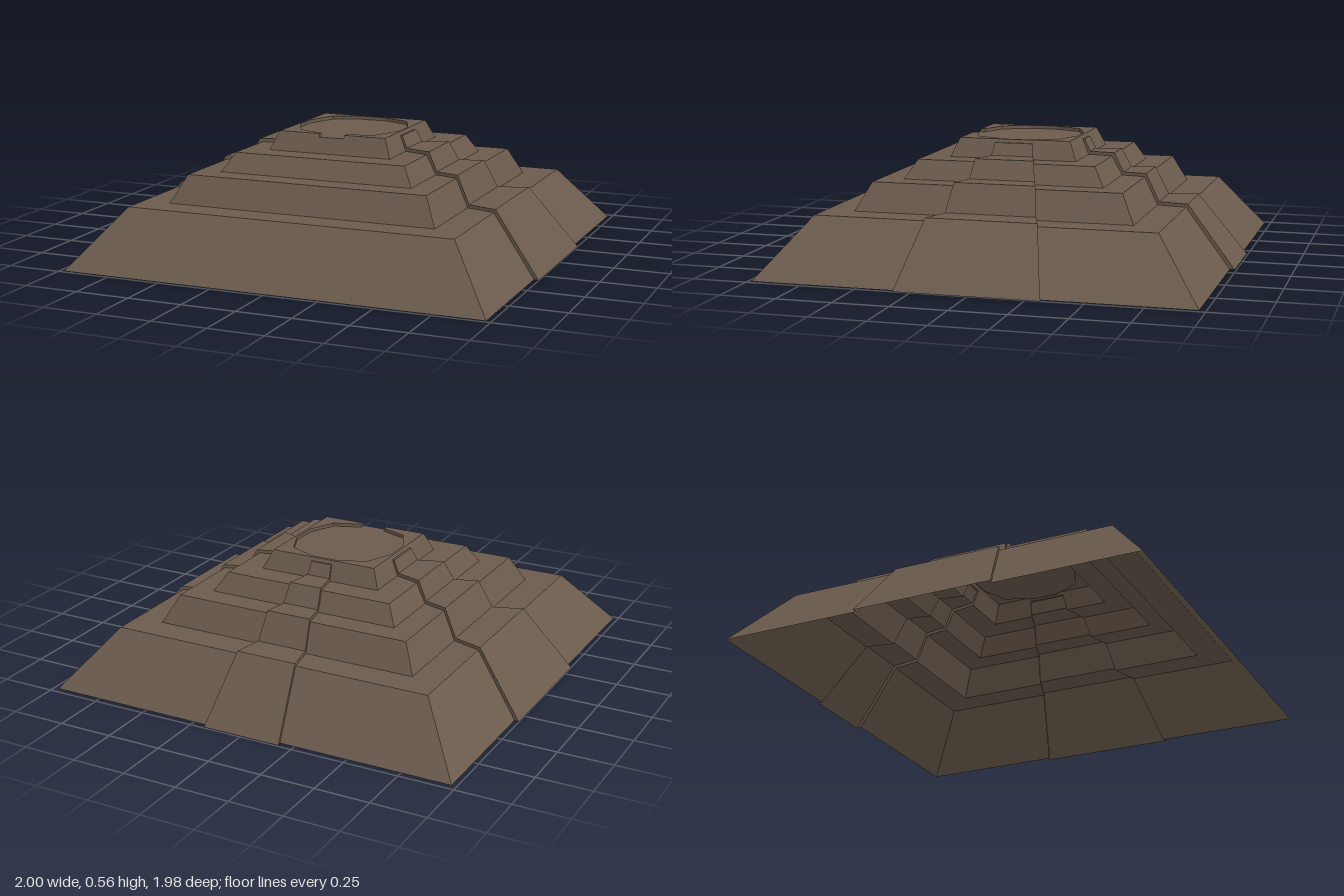
import * as THREE from 'three';

const material = new THREE.MeshStandardMaterial({ color: 0x6b5b4d, flatShading: true, side: THREE.DoubleSide });

// Half-width and height at each bend of the stepped slope
const TIERS = [[0.9775, 0], [0.7675, 0.265], [0.6325, 0.265], [0.57, 0.39], [0.46, 0.39],
  [0.41, 0.475], [0.295, 0.475], [0.265, 0.545], [0.2575, 0.56]];
// The raised ramps follow the same bends slightly further out
const RAMP = [[1, 0], [0.777, 0.28], [0.64, 0.28], [0.577, 0.405], [0.467, 0.405],
  [0.422, 0.49], [0.303, 0.49], [0.275, 0.545]];
const RIM_Y = 0.56, FLOOR_Y = 0.545, NOTCH = 0.06;

// Mesh from a list of quads, corners anticlockwise seen from outside
function quadMesh(name, quads) {
  const positions = [];
  for (const [a, b, c, d] of quads) positions.push(...a, ...b, ...c, ...a, ...c, ...d);
  const geometry = new THREE.BufferGeometry();
  geometry.setAttribute('position', new THREE.Float32BufferAttribute(positions, 3));
  geometry.computeVertexNormals();
  const mesh = new THREE.Mesh(geometry, material);
  mesh.name = name;
  return mesh;
}

// Adds a quad and its mirror image across x = 0
function mirrored(quads, quad) {
  quads.push(quad, quad.map(([x, y, z]) => [-x, y, z]).reverse());
}

// One stepped side facing +z; ramp is the ramp's half-width per unit distance (0 for none)
function steppedSide(name, ramp, notched) {
  const quads = [];
  for (let i = 0; i < TIERS.length - 1; i++) {
    const [d0, y0] = TIERS[i], [d1, y1] = TIERS[i + 1];
    const last = i === TIERS.length - 2;
    const g0 = last ? (notched ? NOTCH : 0) : ramp * d0;
    const g1 = last ? g0 : ramp * d1;
    if (g0 > 0) mirrored(quads, [[g0, y0, d0], [d0, y0, d0], [d1, y1, d1], [g1, y1, d1]]);
    else quads.push([[-d0, y0, d0], [d0, y0, d0], [d1, y1, d1], [-d1, y1, d1]]);
  }
  return quadMesh(name, quads);
}

// Tapering raised ramp with thin side walls
function rampMesh(name, k) {
  const quads = [];
  const strip = ([d0, y0], [d1, y1]) =>
    quads.push([[-k * d0, y0, d0], [k * d0, y0, d0], [k * d1, y1, d1], [-k * d1, y1, d1]]);
  const at = ([d, y]) => [k * d, y, d];
  for (let i = 0; i < RAMP.length - 1; i++) {
    strip(RAMP[i], RAMP[i + 1]);
    mirrored(quads, [at(TIERS[i]), at(TIERS[i + 1]), at(RAMP[i + 1]), at(RAMP[i])]);
  }
  strip(RAMP[7], TIERS[7]);
  return quadMesh(name, quads);
}

// Flat horizontal face from [x, z] points
function flatFace(name, points, y) {
  const shape = new THREE.Shape(points.map(([x, z]) => new THREE.Vector2(x, -z)));
  const geometry = new THREE.ShapeGeometry(shape).rotateX(-Math.PI / 2).translate(0, y, 0);
  const mesh = new THREE.Mesh(geometry, material);
  mesh.name = name;
  return mesh;
}

export function createModel() {
  const model = new THREE.Group();
  model.name = 'steppedPyramid';
  const body = new THREE.Group();
  body.name = 'body';
  body.position.z = 0.0075;
  model.add(body);

  // Four stepped sides, three of them with a ramp
  const sides = [['front', 0, 0], ['left', Math.PI / 2, 0.3225],
    ['back', Math.PI, 0.185], ['right', -Math.PI / 2, 0.3225]];
  for (const [name, angle, k] of sides) {
    const side = new THREE.Group();
    side.name = name + 'Side';
    side.rotation.y = angle;
    side.add(steppedSide(name + 'Tiers', k, name === 'front'));
    if (k) side.add(rampMesh(name + 'Ramp', k));
    body.add(side);
  }

  // Basin outline on the summit: twelve sides, open through a notch at the front
  const h = TIERS[8][0];
  const right = [[NOTCH, h], [NOTCH, 0.238], [0.185, 0.19], [0.245, 0.062],
    [0.245, -0.062], [0.19, -0.19], [0.065, -0.242]];
  const basin = [...right, ...right.map(([x, z]) => [-x, z]).reverse()];

  // Summit terrace around the basin
  body.add(flatFace('summitTerrace', [...basin, [-h, h], [-h, -h], [h, -h], [h, h]], RIM_Y));

  // Basin walls and floor
  const walls = [];
  for (let i = 0; i < basin.length - 1; i++) {
    const [x0, z0] = basin[i], [x1, z1] = basin[i + 1];
    walls.push([[x1, FLOOR_Y, z1], [x0, FLOOR_Y, z0], [x0, RIM_Y, z0], [x1, RIM_Y, z1]].reverse());
  }
  const lip = TIERS[7][0];
  mirrored(walls, [[NOTCH, FLOOR_Y, h], [NOTCH, FLOOR_Y, lip], [NOTCH, RIM_Y, h], [NOTCH, RIM_Y, h]]);
  body.add(quadMesh('basinWall', walls));
  body.add(flatFace('basinFloor', [[NOTCH, lip], ...basin, [-NOTCH, lip]], FLOOR_Y));

  return model;
}
